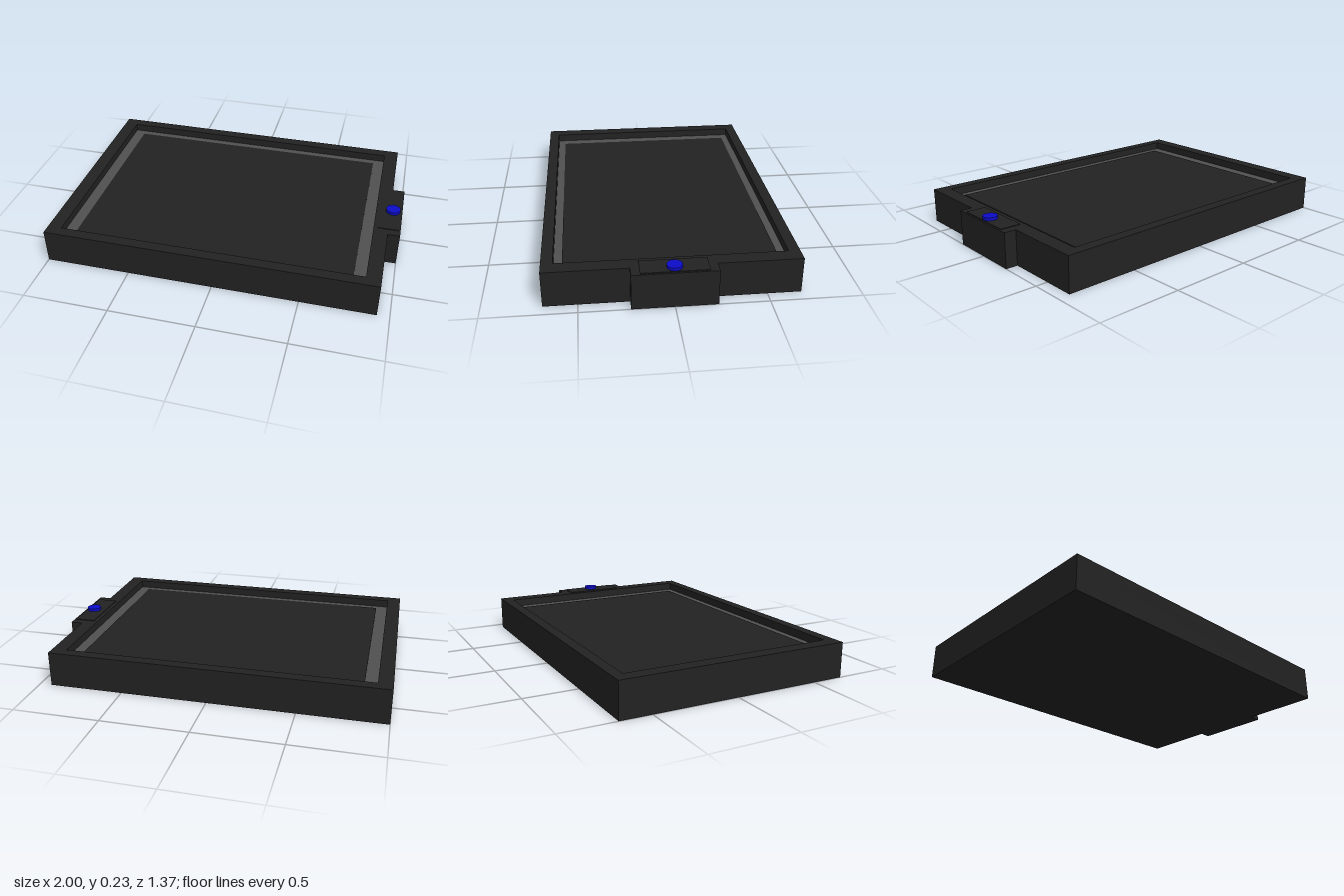
import * as THREE from 'three';

const mat = (name, color) => {
  const m = new THREE.MeshStandardMaterial({ color });
  m.name = name;
  return m;
};

export function createModel() {
  const group = new THREE.Group();
  const black = mat('black plastic', 0x222222);
  const grey = mat('grey border', 0x505050);
  const blue = mat('blue button', 0x0c0cc8);

  const add = (name, geometry, material, x = 0, y = 0, z = 0) => {
    const mesh = new THREE.Mesh(geometry, material);
    mesh.name = name;
    mesh.position.set(x, y, z);
    group.add(mesh);
  };
  const points = (list) => list.map(([x, z]) => new THREE.Vector2(x, z));

  // Outline of the case, with the tab on its left side
  const outline = () => new THREE.Shape(points([
    [-1, -0.683], [0.93, -0.683], [0.93, -0.228], [1, -0.228],
    [1, 0.228], [0.93, 0.228], [0.93, 0.683], [-1, 0.683],
  ]));
  const slab = (shape, depth) =>
    new THREE.ExtrudeGeometry(shape, { depth, bevelEnabled: false }).rotateX(-Math.PI / 2);

  const floorY = 0.155, topY = 0.205;
  add('caseBase', slab(outline(), floorY), black);

  // Raised rim around the recess
  const rim = outline();
  rim.holes.push(new THREE.Path(points([
    [-0.918, -0.62], [-0.918, 0.62], [0.845, 0.62], [0.845, -0.62],
  ])));
  add('caseRim', slab(rim, topY - floorY), black, 0, floorY);

  // Recessed screen with its grey border
  add('screenBorder', new THREE.BoxGeometry(1.763, 0.004, 1.24), grey, -0.0365, floorY + 0.002);
  add('screen', new THREE.BoxGeometry(1.626, 0.004, 1.15), black, -0.035, floorY + 0.006);

  // Low plate and round button on the tab
  add('buttonPlate', new THREE.BoxGeometry(0.12, 0.004, 0.36), black, 0.93, topY + 0.002);
  add('button', new THREE.CylinderGeometry(0.042, 0.042, 0.021, 24), blue, 0.945, 0.2155);

  return group;
}
